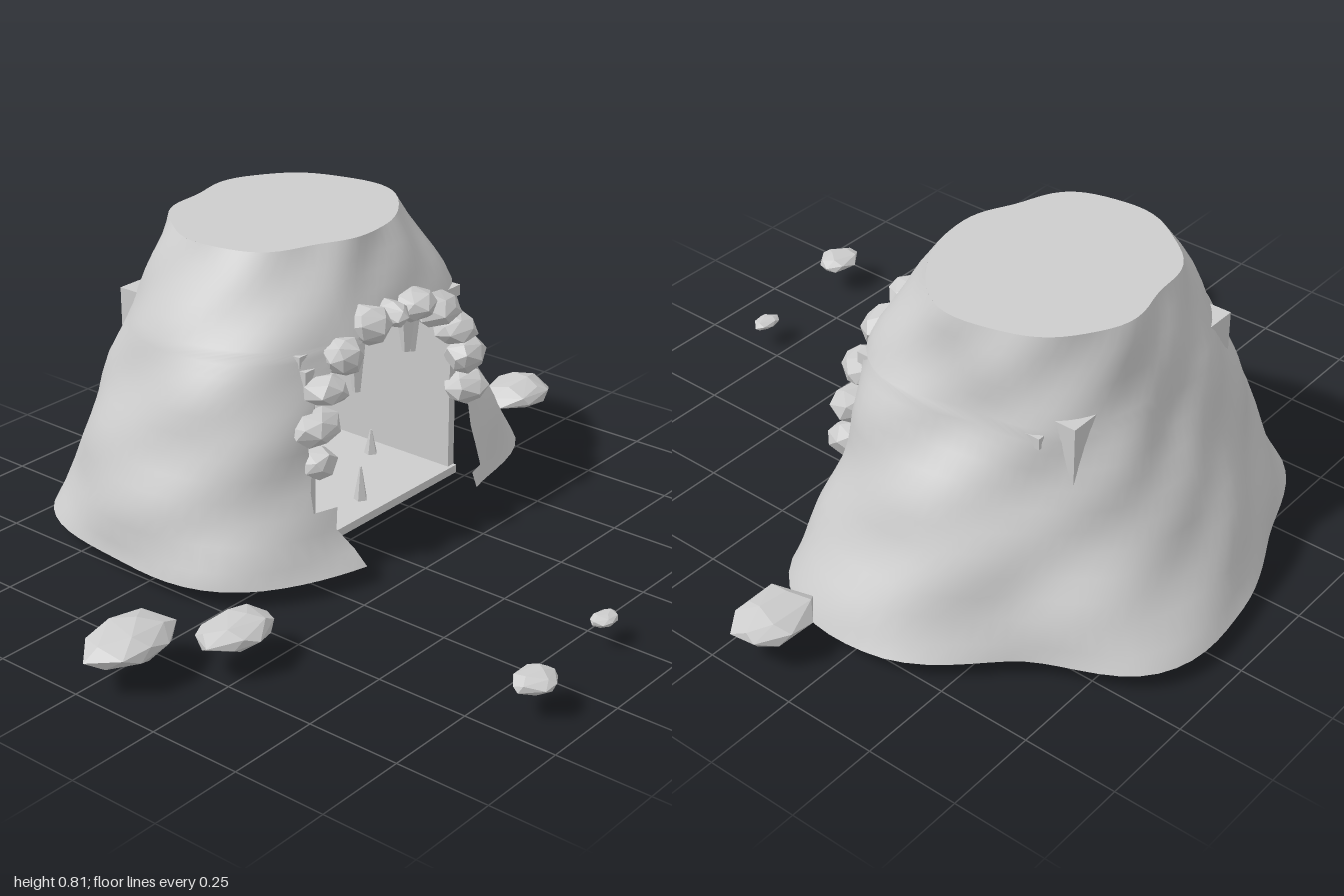
import * as THREE from 'three';
import { ConvexGeometry } from 'three/addons/geometries/ConvexGeometry.js';

const CX = 0.12, CZ = -0.33, TAU = Math.PI * 2;

// Mound rings: height, then radii every 30 degrees from the front (+z) towards +x
const RINGS = [
  [0.05, [0.5, 0.53, 0.69, 0.68, 0.56, 0.625, 0.59, 0.55, 0.65, 0.665, 0.685, 0.595]],
  [0.3, [0.38, 0.44, 0.56, 0.54, 0.47, 0.48, 0.46, 0.47, 0.54, 0.6, 0.59, 0.46]],
  [0.58, [0.37, 0.43, 0.46, 0.385, 0.385, 0.375, 0.34, 0.375, 0.43, 0.465, 0.48, 0.43]],
  [0.81, [0.28, 0.29, 0.33, 0.33, 0.33, 0.31, 0.28, 0.29, 0.3, 0.325, 0.31, 0.28]],
];
const TOP = RINGS[3][0];
// Height, left and right edge (x) of the cave mouth
const ROWS = [
  [0.05, -0.16, 0.38], [0.09, -0.17, 0.38], [0.092, -0.17, 0.43], [0.15, -0.2, 0.43],
  [0.2, -0.18, 0.43], [0.202, -0.25, 0.43], [0.25, -0.24, 0.44], [0.3, -0.22, 0.44],
  [0.35, -0.22, 0.44], [0.4, -0.22, 0.44], [0.45, -0.19, 0.42], [0.5, -0.16, 0.39],
  [0.54, -0.12, 0.35], [0.57, -0.07, 0.3], [0.6, 0.1, 0.1], [0.64, 0.1, 0.1], [0.68, 0.1, 0.1],
  [0.72, 0.1, 0.1], [0.76, 0.1, 0.1], [TOP, 0.1, 0.1],
];

function random(seed) {
  let s = seed * 7919 + 17;
  return () => (s = (s * 16807) % 2147483647) / 2147483647;
}

// Smooth curve from b to c
const smooth = (a, b, c, d, f) => b + 0.5 * f * (c - a + f * (2 * a - 5 * b + 4 * c - d + f * (3 * (b - c) + d - a)));

function ringRadius(table, angle) {
  const n = table.length, t = (((angle / TAU) % 1) + 1) % 1 * n, i = Math.floor(t);
  const [a, b, c, d] = [-1, 0, 1, 2].map((k) => table[(i + k + n) % n]);
  return smooth(a, b, c, d, t - i);
}

function moundRadius(angle, y) {
  const r = RINGS.map(([, table]) => ringRadius(table, angle));
  const i = y < RINGS[1][0] ? 0 : y < RINGS[2][0] ? 1 : 2;
  const f = (y - RINGS[i][0]) / (RINGS[i + 1][0] - RINGS[i][0]);
  const before = i > 0 ? r[i - 1] : 2 * r[0] - r[1];
  const after = i < 2 ? r[i + 2] : 2 * r[3] - r[2];
  const lumps = 0.006 * Math.sin(5 * angle + 16 * y) + 0.004 * Math.sin(8 * angle - 27 * y);
  return smooth(before, r[i], r[i + 1], after, f) + lumps;
}

function moundPoint(angle, y) {
  const r = moundRadius(angle, y);
  return new THREE.Vector3(CX + r * Math.sin(angle), y, CZ + r * Math.cos(angle));
}

function moundNormal(angle, y) {
  const e = 0.01;
  const across = moundPoint(angle + e, y).sub(moundPoint(angle - e, y));
  const up = moundPoint(angle, y + e).sub(moundPoint(angle, y - e));
  return across.cross(up).normalize();
}

function edgeAngle(x, y) {
  let a = 0;
  for (let i = 0; i < 12; i++) a = Math.asin((x - CX) / moundRadius(a, y));
  return a;
}

function moundGeometry() {
  const N = 72, pos = [], nor = [], idx = [];
  ROWS.forEach(([y, xl, xr], j) => {
    const start = edgeAngle(xr, y), end = edgeAngle(xl, y) + TAU;
    for (let i = 0; i <= N; i++) {
      const a = start + (end - start) * i / N;
      pos.push(...moundPoint(a, y).toArray());
      nor.push(...moundNormal(a, y).toArray());
      if (i < N && j < ROWS.length - 1) {
        const p = j * (N + 1) + i, q = p + N + 1;
        idx.push(p, p + 1, q + 1, p, q + 1, q);
      }
    }
  });
  const g = new THREE.BufferGeometry();
  g.setAttribute('position', new THREE.Float32BufferAttribute(pos, 3));
  g.setAttribute('normal', new THREE.Float32BufferAttribute(nor, 3));
  g.setIndex(idx);
  return g;
}

// Faceted boulder filling the given half sizes
function rockGeometry(seed, rx, ry, rz) {
  const rnd = random(seed), pts = [], n = 22, spin = rnd() * TAU;
  for (let i = 0; i < n; i++) {
    const h = 1 - 2 * (i + 0.5) / n, r = Math.sqrt(1 - h * h), a = spin + i * 2.4 + rnd() * 0.5;
    const k = 0.92 + 0.16 * rnd();
    pts.push(new THREE.Vector3(r * Math.cos(a) * k * rx, h * k * ry, r * Math.sin(a) * k * rz));
  }
  return new ConvexGeometry(pts);
}

export function createModel() {
  const model = new THREE.Group();
  const stone = new THREE.MeshStandardMaterial({ color: 0xcccccc, side: THREE.DoubleSide });
  stone.name = 'stone grey';

  const add = (name, geometry, x = 0, y = 0, z = 0) => {
    const mesh = new THREE.Mesh(geometry, stone);
    mesh.name = name;
    mesh.position.set(x, y, z);
    model.add(mesh);
  };
  // Box from its lower and upper corners
  const slab = (name, x0, x1, y0, y1, z0, z1) =>
    add(name, new THREE.BoxGeometry(x1 - x0, y1 - y0, z1 - z0), (x0 + x1) / 2, (y0 + y1) / 2, (z0 + z1) / 2);

  // Hollow hill with its flat top
  add('mound', moundGeometry());
  const rim = [];
  for (let i = 0; i < 72; i++) {
    const p = moundPoint(i / 72 * TAU, TOP);
    rim.push(new THREE.Vector2(p.x, -p.z));
  }
  add('moundTop', new THREE.ShapeGeometry(new THREE.Shape(rim)).rotateX(-Math.PI / 2), 0, TOP, 0);

  // Cave room
  slab('floor', -0.2, 0.42, 0.05, 0.073, -0.55, 0.03);
  slab('backWall', -0.2, 0.42, 0, 0.62, -0.62, -0.55);
  slab('rightWall', -0.2, -0.165, 0.073, 0.55, -0.55, 0.02);
  slab('leftWall', 0.395, 0.42, 0.073, 0.55, -0.55, 0.02);
  slab('ceiling', -0.2, 0.46, 0.555, 0.585, -0.55, 0.0);

  // Boulders around the mouth: x, y, half width, half height
  [
    [-0.19, 0.31, 0.055, 0.045], [-0.19, 0.405, 0.078, 0.046], [-0.15, 0.495, 0.06, 0.042],
    [-0.085, 0.565, 0.055, 0.05], [0.025, 0.618, 0.06, 0.052], [0.115, 0.62, 0.042, 0.036],
    [0.215, 0.612, 0.07, 0.045], [0.305, 0.57, 0.078, 0.05], [0.39, 0.49, 0.062, 0.046],
    [0.43, 0.405, 0.066, 0.052], [0.44, 0.308, 0.072, 0.046],
  ].forEach(([x, y, w, h], i) => add('archRock', rockGeometry(i + 1, w, h, 0.06), x, y, 0.04));

  // Loose boulders: position, then half sizes
  [
    [-0.87, 0.105, 0.05, 0.13, 0.043, 0.097], [-0.67, 0.1, 0.2, 0.125, 0.034, 0.08],
    [0.885, 0.1, -0.1, 0.112, 0.04, 0.092], [-0.39, 0.09, 0.865, 0.066, 0.025, 0.054],
    [-0.03, 0.072, 0.815, 0.045, 0.015, 0.03],
  ].forEach(([x, y, z, a, b, c], i) => add('looseRock', rockGeometry(i + 31, a, b, c), x, y, z));

  // Stalagmites on the floor and stalactites under the ceiling: x, z, length
  const spike = (top, bottom, h) => {
    const g = new THREE.CylinderGeometry(top, bottom, h, 5).toNonIndexed();
    g.computeVertexNormals();
    return g;
  };
  [[-0.03, -0.24, 0.075], [0.09, -0.04, 0.095], [0.33, -0.2, 0.07]].forEach(([x, z, h]) =>
    add('stalagmite', spike(0.003, 0.019, h), x, 0.073 + h / 2, z));
  [[-0.06, -0.04, 0.14], [0.06, -0.03, 0.16], [0.28, -0.04, 0.12], [0.33, -0.06, 0.14], [-0.09, -0.12, 0.1]].forEach(([x, z, h]) =>
    add('stalactite', spike(0.03, 0.012, h), x, 0.56 - h / 2, z));

  return model;
}
